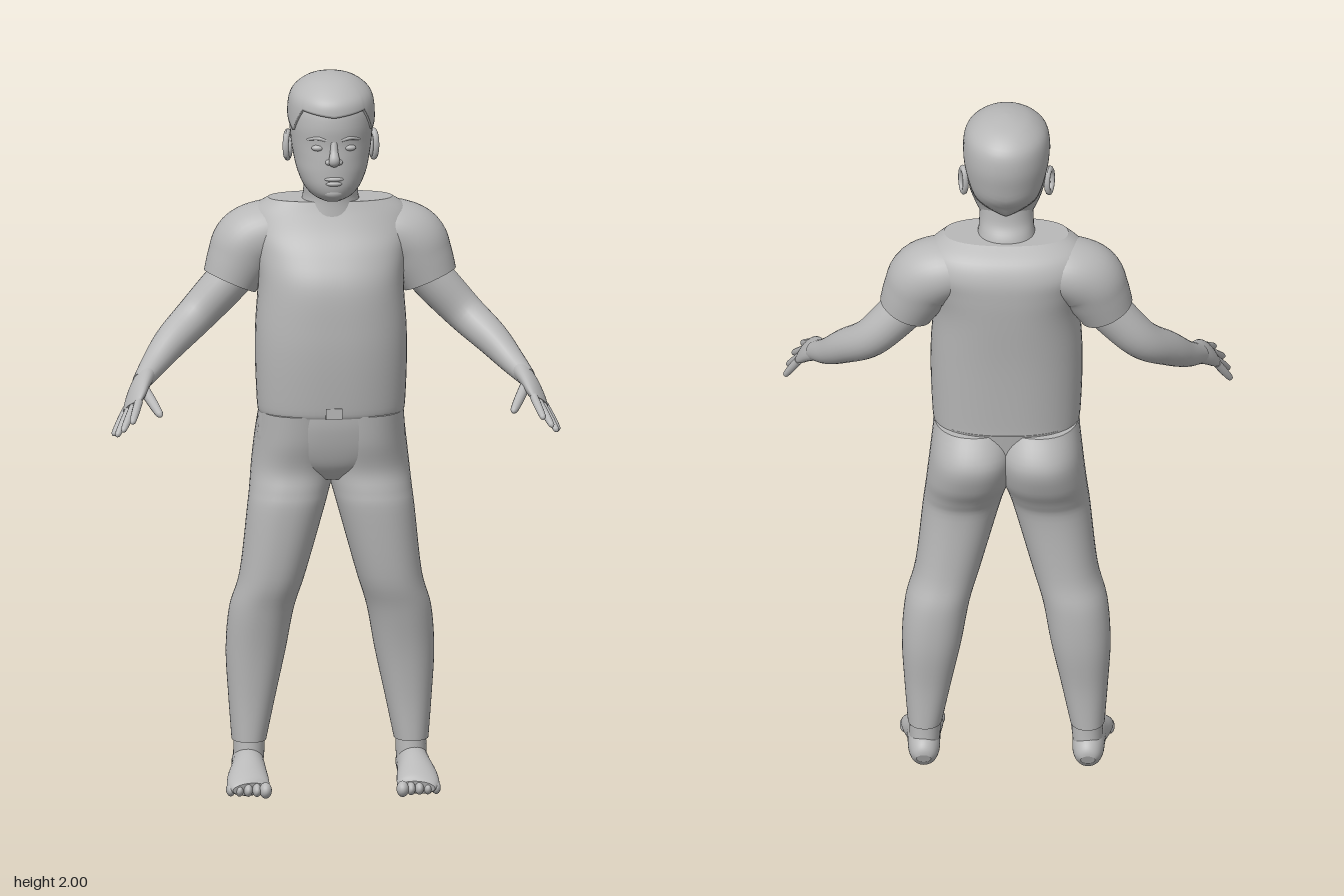
import * as THREE from 'three';

const V = (x, y, z) => new THREE.Vector3(x, y, z);
const grey = new THREE.MeshStandardMaterial({ color: 0xb8b8b8 });
grey.name = 'plain grey';

// Smooth Catmull-Rom resampling of a table of rows
function smooth(rows, steps = 5) {
  const out = [], last = rows.length - 1;
  const row = i => rows[Math.min(last, Math.max(0, i))];
  for (let k = 0; k <= last * steps; k++) {
    const i = Math.min(last - 1, Math.floor(k / steps)), t = k / steps - i;
    out.push(row(i).map((b, j) => {
      const a = row(i - 1)[j], c = row(i + 1)[j], d = row(i + 2)[j];
      return b + 0.5 * t * (c - a + t * (2 * a - 5 * b + 4 * c - d + t * (3 * (b - c) + d - a)));
    }));
  }
  return out;
}

// Closed skin over a stack of rings, with flat end caps
function skin(rings) {
  const n = rings[0].length, pts = rings.flat(), idx = [];
  for (let i = 0; i < rings.length - 1; i++)
    for (let j = 0; j < n; j++) {
      const a = i * n + j, b = i * n + (j + 1) % n;
      idx.push(a, b, a + n, b, b + n, a + n);
    }
  [rings[0], rings[rings.length - 1]].forEach((ring, end) => {
    const s = pts.length, mid = V(0, 0, 0);
    ring.forEach(p => mid.addScaledVector(p, 1 / n));
    pts.push(...ring, mid);
    for (let j = 0; j < n; j++) {
      const a = s + j, b = s + (j + 1) % n;
      if (end) idx.push(a, b, s + n); else idx.push(b, a, s + n);
    }
  });
  // Turn the faces outward if the enclosed volume is negative
  let volume = 0;
  const c = V(0, 0, 0);
  for (let i = 0; i < idx.length; i += 3)
    volume += pts[idx[i]].dot(c.crossVectors(pts[idx[i + 1]], pts[idx[i + 2]]));
  if (volume < 0) idx.reverse();
  const g = new THREE.BufferGeometry().setFromPoints(pts);
  g.setIndex(idx);
  g.computeVertexNormals();
  return g;
}

const power = (v, e) => Math.sign(v) * Math.abs(v) ** (2 / e);

// Point on a horizontal section [y, x0, x1, z0, z1]; angle 0 is the front
function onSection([y, x0, x1, z0, z1], a, e, grow = 0) {
  return V((x0 + x1) / 2 + ((x1 - x0) / 2 + grow) * power(Math.sin(a), e), y,
    (z0 + z1) / 2 + ((z1 - z0) / 2 + grow) * power(Math.cos(a), e));
}
const loft = (rows, e = 2.2, n = 48) => skin(smooth(rows).map(r =>
  Array.from({ length: n }, (_, j) => onSection(r, j / n * Math.PI * 2, e))));

// Symmetric sections are written [y, halfWidth, back, front]
const even = rows => rows.map(([y, w, b, f]) => [y, -w, w, b, f]);

// Limb along a path of rows [x, y, z, thickness, width]; width lies along ref
function limb(rows, ref = V(0, 0, 1), n = 24) {
  const s = smooth(rows), at = i => V(...s[Math.min(s.length - 1, Math.max(0, i))]);
  return skin(s.map((r, i) => {
    const dir = at(i + 1).sub(at(i - 1)).normalize();
    const a = V(0, 0, 0).crossVectors(dir, ref).normalize();
    const b = V(0, 0, 0).crossVectors(a, dir);
    return Array.from({ length: n }, (_, j) => {
      const t = j / n * Math.PI * 2;
      return at(i).addScaledVector(a, r[3] * Math.cos(t)).addScaledVector(b, r[4] * Math.sin(t));
    });
  }));
}
function finger(a, b, r) {
  const p = V(...a), q = V(...b);
  return limb([[0, 1], [0.5, 0.95], [0.88, 0.75], [0.97, 0.45], [1, 0.1]].map(([t, s]) =>
    [...p.clone().lerp(q, t).toArray(), r * s, r * s]), V(0.5, -0.5, -0.7), 12);
}
const ball = (x, y, z, rx, ry, rz) =>
  new THREE.SphereGeometry(1, 20, 14).scale(rx, ry, rz).translate(x, y, z);

function mirrored(g) {
  const m = g.clone().scale(-1, 1, 1);
  m.setIndex(Array.from(g.index.array).reverse());
  m.computeVertexNormals();
  return m;
}

// Short hair: a dome whose lower edge follows the hairline
function hairGeometry() {
  const rows = smooth(even([
    [1.70, .07, -.15, .05], [1.74, .09, -.165, .07], [1.78, .105, -.20, .08],
    [1.83, .116, -.215, .083], [1.88, .12, -.225, .083], [1.93, .116, -.222, .078],
    [1.96, .101, -.203, .052], [1.985, .068, -.165, .012], [1.997, .03, -.115, -.035], [2, .003, -.08, -.075]]), 8);
  const line = [[0, 1.9], [45, 1.915], [65, 1.85], [80, 1.87], [97, 1.9], [112, 1.84], [125, 1.76], [180, 1.72]];
  const between = (table, v) => {
    let i = 0;
    while (i < table.length - 2 && table[i + 1][0] < v) i++;
    const a = table[i], b = table[i + 1], t = (v - a[0]) / (b[0] - a[0]);
    return a.map((x, j) => x + (b[j] - x) * t);
  };
  const n = 96, rings = [];
  for (let i = -1; i <= 24; i++)
    rings.push(Array.from({ length: n }, (_, j) => {
      const a = j / n * Math.PI * 2, deg = 180 - Math.abs(180 - j / n * 360);
      const edge = between(line, deg)[1], t = Math.max(0, i) / 24;
      const y = edge + (2 - edge) * Math.sin(t * Math.PI / 2);
      return onSection(between(rows, y), a, 2.1, i < 0 ? -0.02 : 0);
    }));
  return skin(rings);
}

export function createModel() {
  const model = new THREE.Group();
  model.name = 'standingChild';
  const add = (name, g) => {
    const m = new THREE.Mesh(g, grey);
    m.name = name;
    model.add(m);
  };
  const pair = (name, g) => { add(name + 'Left', g); add(name + 'Right', mirrored(g)); };

  // Head
  add('head', loft(even([
    [1.655, .03, -.10, .02], [1.672, .058, -.13, .058], [1.70, .08, -.14, .072],
    [1.74, .096, -.155, .075], [1.78, .105, -.19, .075], [1.82, .111, -.203, .074],
    [1.87, .114, -.215, .078], [1.92, .107, -.21, .068], [1.96, .08, -.185, .03]]), 2.15));
  add('hair', hairGeometry());
  add('neck', loft(even([[1.6, .09, -.185, -.01], [1.65, .077, -.175, -.012], [1.69, .074, -.155, -.005], [1.75, .07, -.15, 0]])));
  add('nose', limb([[0, 1.83, .07, .008, .009], [0, 1.805, .077, .01, .011],
    [0, 1.785, .086, .013, .015], [0, 1.775, .083, .011, .014], [0, 1.768, .074, .006, .01]], V(1, 0, 0)));
  pair('nostril', ball(.014, 1.776, .074, .01, .008, .011));
  pair('eye', ball(.043, 1.814, .06, .018, .009, .012));
  pair('brow', limb([[.02, 1.836, .072, .004, .003], [.045, 1.842, .066, .005, .005], [.072, 1.835, .047, .003, .003]]));
  add('upperLip', ball(0, 1.728, .069, .027, .007, .011));
  add('lowerLip', ball(0, 1.715, .068, .023, .008, .011));
  add('chin', ball(0, 1.688, .052, .03, .018, .018));
  const ear = new THREE.TorusGeometry(.024, .007, 10, 24).scale(.8, 1.45, 1.2)
    .rotateY(Math.PI / 2 + .35).translate(.118, 1.795, -.085);
  pair('earRim', ear);
  pair('earBowl', ball(.112, 1.79, -.083, .008, .032, .02));

  // Shirt
  add('shirtBody', loft(even([
    [1.055, .198, -.215, .066], [1.08, .203, -.215, .073], [1.2, .208, -.225, .086],
    [1.3, .207, -.235, .09], [1.42, .2, -.25, .084], [1.5, .212, -.258, .05],
    [1.56, .23, -.257, .012], [1.61, .215, -.235, -.012], [1.645, .17, -.19, -.025]]), 2.35, 64));
  pair('sleeve', limb([[.1, 1.555, -.13, .075, .095], [.17, 1.545, -.13, .088, .105],
    [.222, 1.515, -.125, .098, .102], [.25, 1.465, -.12, .09, .092], [.275, 1.41, -.115, .077, .08]], V(0, 0, 1), 40));
  add('buckle', new THREE.BoxGeometry(.045, .03, .012).translate(0, 1.072, .072));

  // Trousers
  add('hips', loft(even([[1.065, .199, -.217, .064], [1.02, .202, -.21, .06],
    [.96, .2, -.2, .046], [.91, .15, -.18, .025], [.872, .06, -.15, -.01]]), 2.3));
  pair('trouserLeg', loft([
    [1.06, -.02, .198, -.222, .062], [.98, -.025, .208, -.265, .049], [.9, -.015, .217, -.245, .028],
    [.84, .003, .223, -.21, .034], [.78, .02, .23, -.19, .037], [.6, .07, .25, -.19, .02],
    [.5, .1, .277, -.205, -.005], [.38, .122, .286, -.205, -.03], [.25, .15, .279, -.19, -.045],
    [.13, .175, .27, -.185, -.05]]));

  // Arms and hands
  const across = V(.5, -.5, -.7);
  pair('arm', limb([[.2, 1.5, -.12, .06, .07], [.29, 1.4, -.12, .06, .064], [.37, 1.315, -.11, .054, .055],
    [.44, 1.255, -.05, .047, .049], [.49, 1.205, .01, .036, .038], [.528, 1.17, .075, .025, .029]]));
  pair('palm', limb([[.515, 1.183, .052, .025, .03], [.535, 1.16, .1, .022, .04],
    [.55, 1.135, .14, .018, .044], [.562, 1.115, .168, .011, .039]], across));
  const tips = [[.565, 1.09, .262], [.59, 1.065, .25], [.605, 1.045, .218], [.612, 1.038, .17]];
  tips.forEach((tip, i) => {
    const k = (i - 1.5) * .021;
    pair('finger' + (i + 1), finger([.558 + .5 * k, 1.12 - .5 * k, .158 - .7 * k], tip, .0115));
  });
  pair('thumb', finger([.53, 1.165, .1], [.483, 1.1, .218], .015));

  // Feet
  pair('ankle', loft([[.17, .18, .262, -.18, -.06], [.1, .18, .265, -.18, -.055], [.05, .185, .265, -.185, -.05]]));
  pair('foot', limb([[.225, .045, -.197, .015, .02], [.225, .05, -.183, .038, .034], [.225, .056, -.15, .053, .043],
    [.226, .058, -.1, .058, .045], [.228, .054, -.05, .054, .048], [.232, .042, 0, .042, .056],
    [.233, .029, .045, .029, .058], [.23, .024, .066, .018, .048]], V(1, 0, 0), 32));
  for (let i = 0; i < 5; i++)
    pair('toe' + (i + 1), ball(.188 + i * .0235, .023 - i * .001, .08 - i * .009, i ? .0125 : .017, i ? .018 : .022, .027));

  return model;
}
